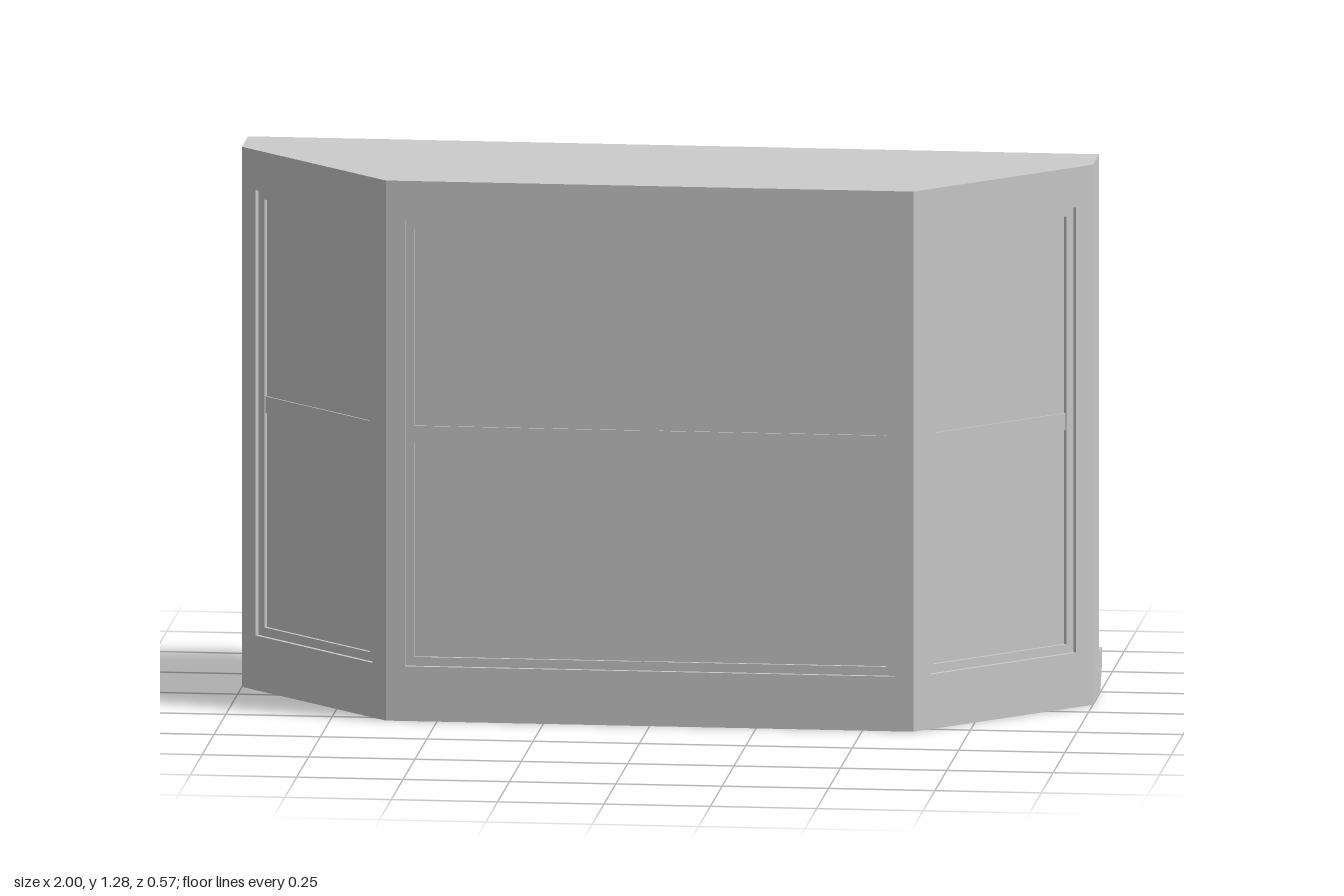
import * as THREE from 'three';

const material = new THREE.MeshStandardMaterial({ color: 0xcccccc, flatShading: true });
const HEIGHT = 1.285, FLOOR = 0.1, CEILING = 1.23, WALL = 0.04;
const OPEN_BOTTOM = 0.13, OPEN_TOP = 1.19, RAIL_Y = 0.68;
const RECESS = 0.01, FRAME_WIDTH = 0.021, BAR = 0.04;

function addMesh(parent, name, geometry) {
  const mesh = new THREE.Mesh(geometry, material);
  mesh.name = name;
  parent.add(mesh);
  return mesh;
}

function addBox(parent, name, w, h, d, x, y, z) {
  addMesh(parent, name, new THREE.BoxGeometry(w, h, d)).position.set(x, y, z);
}

function rectangle(Type, halfWidth, bottom, top) {
  return new Type([
    new THREE.Vector2(-halfWidth, bottom), new THREE.Vector2(halfWidth, bottom),
    new THREE.Vector2(halfWidth, top), new THREE.Vector2(-halfWidth, top),
  ]);
}

// Rectangular ring whose front is at z = front and back at z = back
function ring(outer, inner, front, back) {
  const shape = rectangle(THREE.Shape, ...outer);
  shape.holes.push(rectangle(THREE.Path, ...inner));
  return new THREE.ExtrudeGeometry(shape, { depth: front - back, bevelEnabled: false }).translate(0, 0, back);
}

// Wall with a framed window, its outer face running from a to b in plan [x, z]
function windowWall(name, a, b, margin, hasMullion) {
  const group = new THREE.Group();
  group.name = name;
  const dx = b[0] - a[0], dz = b[1] - a[1];
  const half = Math.hypot(dx, dz) / 2, open = half - margin, glass = open - FRAME_WIDTH;
  const glassBottom = OPEN_BOTTOM + FRAME_WIDTH, glassTop = OPEN_TOP - FRAME_WIDTH;
  const opening = [open, OPEN_BOTTOM, OPEN_TOP];

  addMesh(group, 'wall', ring([half, FLOOR, CEILING], opening, 0, -WALL));
  addMesh(group, 'windowFrame', ring(opening, [glass, glassBottom, glassTop], -RECESS, RECESS - WALL));
  addBox(group, 'pane', 2 * glass, glassTop - glassBottom, 0.004, 0, (glassTop + glassBottom) / 2, -WALL / 2);
  addBox(group, 'glazingRail', 2 * glass, BAR, 0.012, 0, RAIL_Y, -WALL / 2);
  if (hasMullion) {
    addBox(group, 'mullion', BAR, glassTop - glassBottom, 0.012, 0, (glassTop + glassBottom) / 2, -WALL / 2);
  }

  group.position.set((a[0] + b[0]) / 2, 0, (a[1] + b[1]) / 2);
  group.rotation.y = Math.atan2(-dz, dx);
  return group;
}

export function createModel() {
  const model = new THREE.Group();
  model.name = 'bayWindow';
  const corner = [0.62, 0.285], side = [1, -0.09], backZ = -0.22;

  // Floor and roof slabs share the bay's plan outline
  const plan = new THREE.Shape([
    [-1, backZ], [1, backZ], side, corner, [-corner[0], corner[1]], [-side[0], side[1]],
  ].map(([x, z]) => new THREE.Vector2(x, -z)));
  const slab = (name, bottom, top) => {
    const geometry = new THREE.ExtrudeGeometry(plan, { depth: top - bottom, bevelEnabled: false });
    addMesh(model, name, geometry.rotateX(-Math.PI / 2).translate(0, bottom, 0));
  };
  slab('floor', 0, FLOOR);
  slab('roof', CEILING, HEIGHT);

  // Three glazed walls
  model.add(windowWall('frontWall', [-corner[0], corner[1]], corner, 0.045, true));
  model.add(windowWall('leftAngledWall', corner, side, 0.05, false));
  model.add(windowWall('rightAngledWall', [-side[0], side[1]], [-corner[0], corner[1]], 0.05, false));

  // Short solid side walls
  for (const s of [1, -1]) {
    addBox(model, s > 0 ? 'leftSideWall' : 'rightSideWall', WALL, CEILING - FLOOR, side[1] - backZ,
      s * (1 - WALL / 2), (FLOOR + CEILING) / 2, (side[1] + backZ) / 2);
  }

  // Sill nosing along the open back, profile drawn as [-z, y]
  const profile = new THREE.Shape([
    [0.22, 0], [0.25, 0], [0.285, 0.065], [0.285, FLOOR], [0.22, FLOOR],
  ].map(([u, y]) => new THREE.Vector2(u, y)));
  const sill = new THREE.ExtrudeGeometry(profile, { depth: 2, bevelEnabled: false });
  addMesh(model, 'sill', sill.translate(0, 0, -1).rotateY(Math.PI / 2));

  return model;
}
